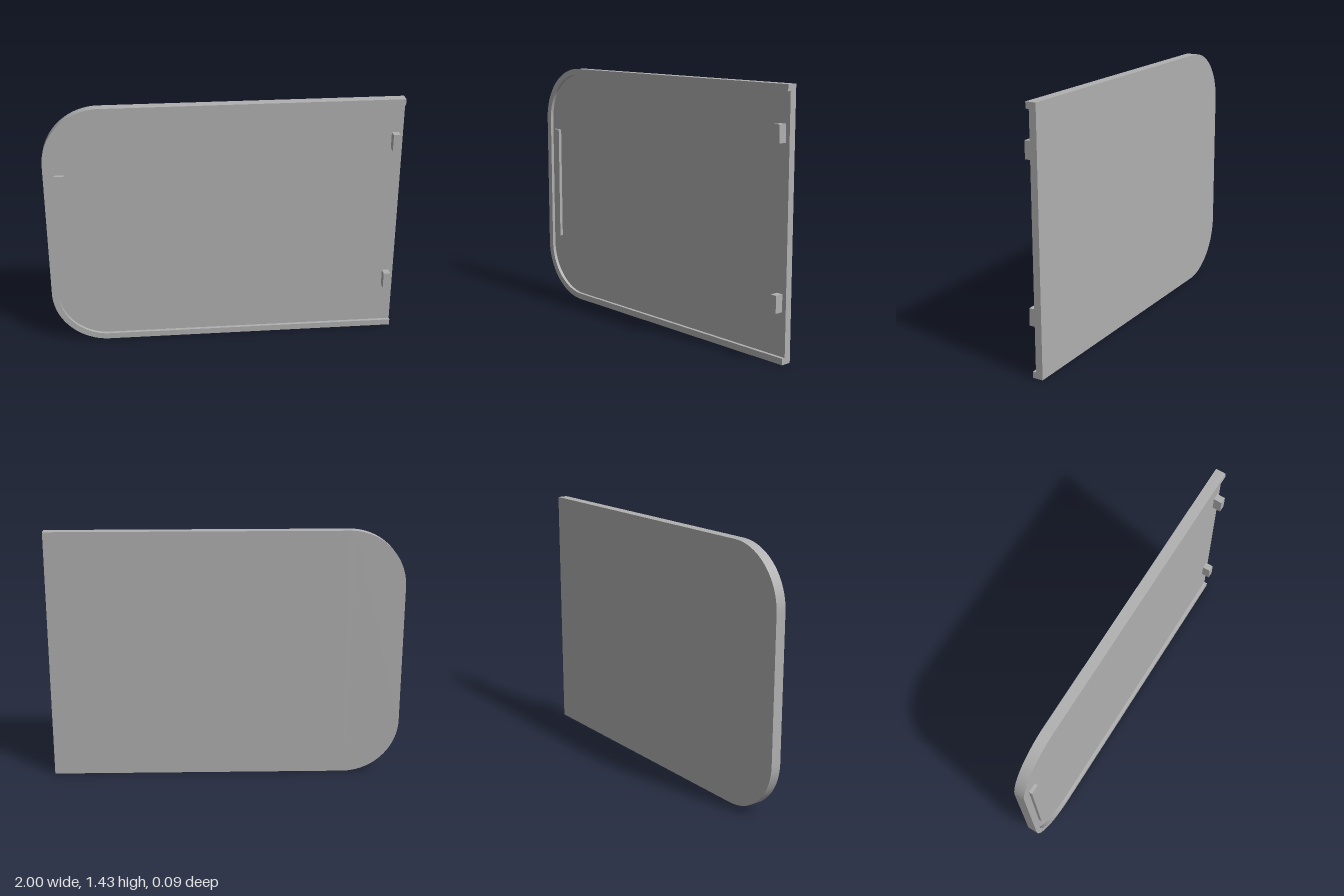
import * as THREE from 'three';
import { toCreasedNormals } from 'three/addons/utils/BufferGeometryUtils.js';

const H = 1.435, RADIUS = 0.32, RIM = 0.035;
const BACK = -0.044, FACE = -0.004, RIM_FRONT = 0.015, TAB_FRONT = 0.044;

// D-shaped outline: square right end, two rounded corners on the other
function outline(shape, inset) {
  const r = RADIUS - inset, cx = -1 + RADIUS;
  shape.moveTo(1, inset);
  shape.lineTo(1, H - inset);
  shape.lineTo(cx, H - inset);
  shape.absarc(cx, H - RADIUS, r, Math.PI / 2, Math.PI, false);
  shape.lineTo(-1 + inset, RADIUS);
  shape.absarc(cx, RADIUS, r, Math.PI, Math.PI * 1.5, false);
  shape.lineTo(1, inset);
  return shape;
}

// Border band following the outline, open at the square end
function rimShape() {
  const cx = -1 + RADIUS, r = RADIUS - RIM;
  const s = new THREE.Shape();
  s.moveTo(1, H - RIM);
  s.lineTo(1, H);
  s.lineTo(cx, H);
  s.absarc(cx, H - RADIUS, RADIUS, Math.PI / 2, Math.PI, false);
  s.lineTo(-1, RADIUS);
  s.absarc(cx, RADIUS, RADIUS, Math.PI, Math.PI * 1.5, false);
  s.lineTo(1, 0);
  s.lineTo(1, RIM);
  s.lineTo(cx, RIM);
  s.absarc(cx, RADIUS, r, Math.PI * 1.5, Math.PI, true);
  s.lineTo(-1 + RIM, H - RADIUS);
  s.absarc(cx, H - RADIUS, r, Math.PI, Math.PI / 2, true);
  s.lineTo(1, H - RIM);
  return s;
}

export function createModel() {
  const group = new THREE.Group();
  group.name = 'coverPanel';
  const grey = new THREE.MeshStandardMaterial({ color: 0xb0b0b0 });
  grey.name = 'grey';

  const add = (name, geometry) => {
    const mesh = new THREE.Mesh(geometry, grey);
    mesh.name = name;
    group.add(mesh);
    return mesh;
  };
  const extrude = (name, shape, z0, z1) => {
    const g = new THREE.ExtrudeGeometry(shape, { depth: z1 - z0, bevelEnabled: false, curveSegments: 32 });
    g.translate(0, 0, z0);
    return add(name, toCreasedNormals(g, 0.5));
  };
  const box = (name, x0, x1, y0, y1, z1) =>
    add(name, new THREE.BoxGeometry(x1 - x0, y1 - y0, z1 - FACE))
      .position.set((x0 + x1) / 2, (y0 + y1) / 2, (z1 + FACE) / 2);

  // Flat panel with its raised border
  extrude('panel', outline(new THREE.Shape(), 0), BACK, FACE);
  extrude('rim', rimShape(), FACE, RIM_FRONT);

  // Grip bar by the rounded end, locating tabs by the square end
  box('gripBar', -0.94, -0.885, 0.375, 1.05, RIM_FRONT);
  box('lowerTab', 0.937, 0.975, 0.273, 0.368, TAB_FRONT);
  box('upperTab', 0.937, 0.975, 1.143, 1.238, TAB_FRONT);

  return group;
}
